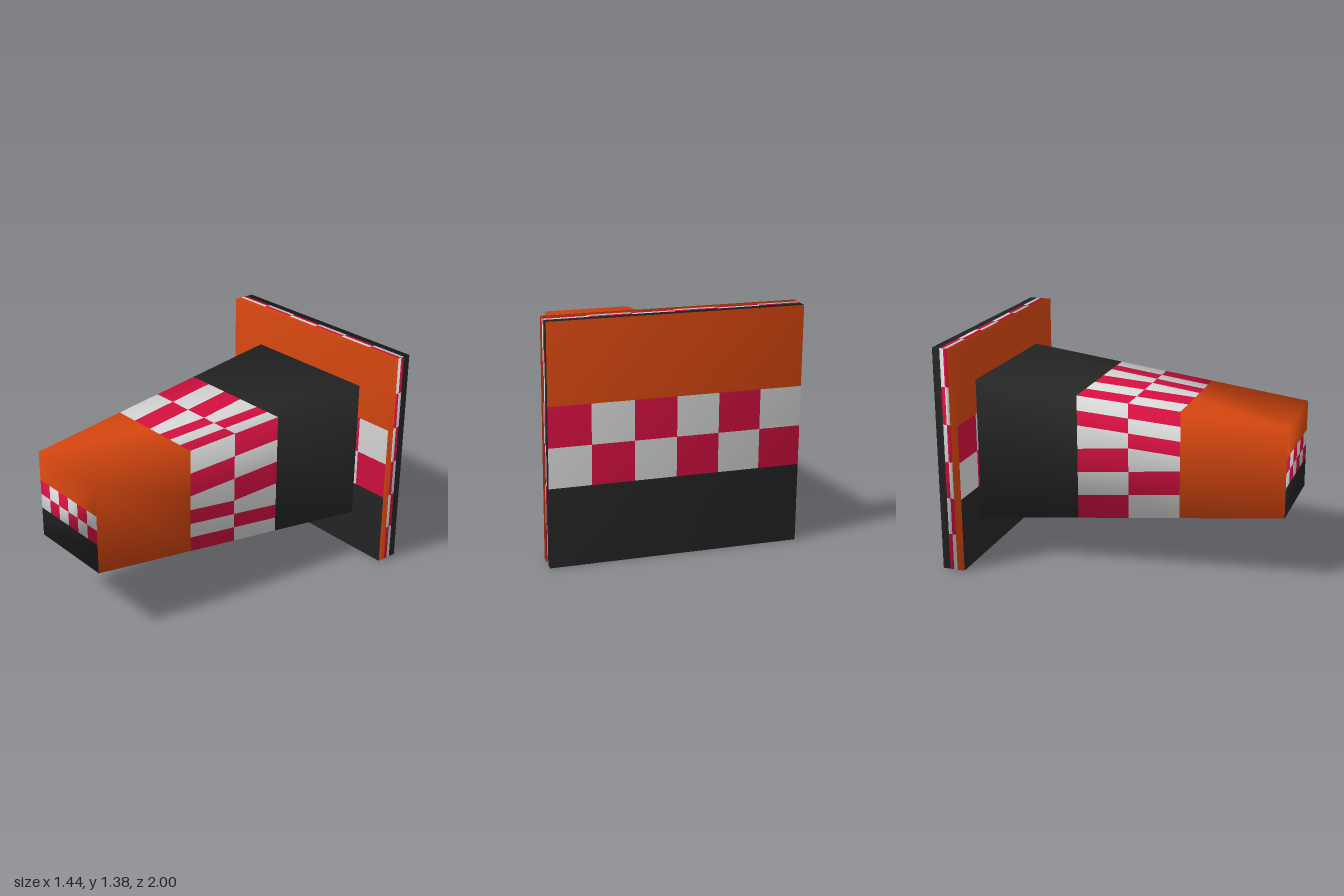
import * as THREE from 'three';

const BLACK = 0, RED = 1, WHITE = 2, ORANGE = 3;

// Pattern on every face as [u0, v0, u1, v1, colour]: black band, two check rows, orange band
const cells = [[0, 0, 1, 1 / 3, BLACK], [0, 2 / 3, 1, 1, ORANGE]];
for (let i = 0; i < 6; i++) {
  cells.push([i / 6, 1 / 3, (i + 1) / 6, 1 / 2, i % 2 ? RED : WHITE]);
  cells.push([i / 6, 1 / 2, (i + 1) / 6, 2 / 3, i % 2 ? WHITE : RED]);
}

// Keep the part of a polygon on one side of the face diagonal u = v
function clip(poly, sign) {
  const out = [];
  poly.forEach((p, i) => {
    const q = poly[(i + 1) % poly.length];
    const dp = sign * (p[0] - p[1]), dq = sign * (q[0] - q[1]);
    if (dp >= 0) out.push(p);
    if (dp * dq < 0) {
      const t = dp / (dp - dq);
      out.push([p[0] + (q[0] - p[0]) * t, p[1] + (q[1] - p[1]) * t]);
    }
  });
  return out;
}

// Corners of the six faces (0-3 front, 4-7 back): u runs first to second, v first to fourth
const faces = [
  [0, 1, 2, 3], [5, 4, 7, 6],
  [5, 6, 2, 1], [7, 4, 0, 3],
  [6, 7, 3, 2], [4, 5, 1, 0],
];

// Tapered box whose faces are cut into coloured cells, with soft corner normals
function patternedBox(name, front, back, cy, materials) {
  const corners = [];
  for (const [hx, hy, z] of [front, back]) {
    corners.push(-hx, cy - hy, z, hx, cy - hy, z, hx, cy + hy, z, -hx, cy + hy, z);
  }
  const frame = new THREE.BufferGeometry();
  frame.setAttribute('position', new THREE.Float32BufferAttribute(corners, 3));
  frame.setIndex(faces.flatMap(([a, b, c, d]) => [a, b, c, a, c, d]));
  frame.computeVertexNormals();
  const read = (attr, i) => new THREE.Vector3().fromBufferAttribute(frame.getAttribute(attr), i);

  const positions = [[], [], [], []], normals = [[], [], [], []];
  for (const [a, b, c, d] of faces) {
    for (const sign of [1, -1]) {
      // Flat mapping inside each half of the face
      const at = (attr, [u, v]) => {
        const A = read(attr, a), C = read(attr, c), M = read(attr, sign > 0 ? b : d);
        const w = sign > 0 ? [1 - u, u - v, v] : [1 - v, v - u, u];
        return A.multiplyScalar(w[0]).addScaledVector(M, w[1]).addScaledVector(C, w[2]).toArray();
      };
      for (const [u0, v0, u1, v1, colour] of cells) {
        const poly = clip([[u0, v0], [u1, v0], [u1, v1], [u0, v1]], sign);
        for (let i = 1; i + 1 < poly.length; i++) {
          for (const p of [poly[0], poly[i], poly[i + 1]]) {
            positions[colour].push(...at('position', p));
            normals[colour].push(...at('normal', p));
          }
        }
      }
    }
  }

  const geometry = new THREE.BufferGeometry();
  geometry.setAttribute('position', new THREE.Float32BufferAttribute(positions.flat(), 3));
  geometry.setAttribute('normal', new THREE.Float32BufferAttribute(normals.flat(), 3));
  let start = 0;
  positions.forEach((list, colour) => {
    geometry.addGroup(start, list.length / 3, colour);
    start += list.length / 3;
  });
  const mesh = new THREE.Mesh(geometry, materials);
  mesh.name = name;
  return mesh;
}

export function createModel() {
  const materials = [['black', 0x262626], ['red', 0xd41040], ['white', 0xd6d6d6], ['orange', 0xd2450f]]
    .map(([name, color]) => {
      const m = new THREE.MeshStandardMaterial({ color });
      m.name = name;
      return m;
    });

  const group = new THREE.Group();
  group.name = 'trafficCone';
  // Square foot plate standing upright, and the tapered body pointing forward
  group.add(patternedBox('basePlate', [0.72, 0.69, -0.86], [0.72, 0.69, -1], 0.69, materials));
  group.add(patternedBox('taperedBody', [0.288, 0.275, 1], [0.46, 0.441, -0.86], 0.69, materials));
  return group;
}
